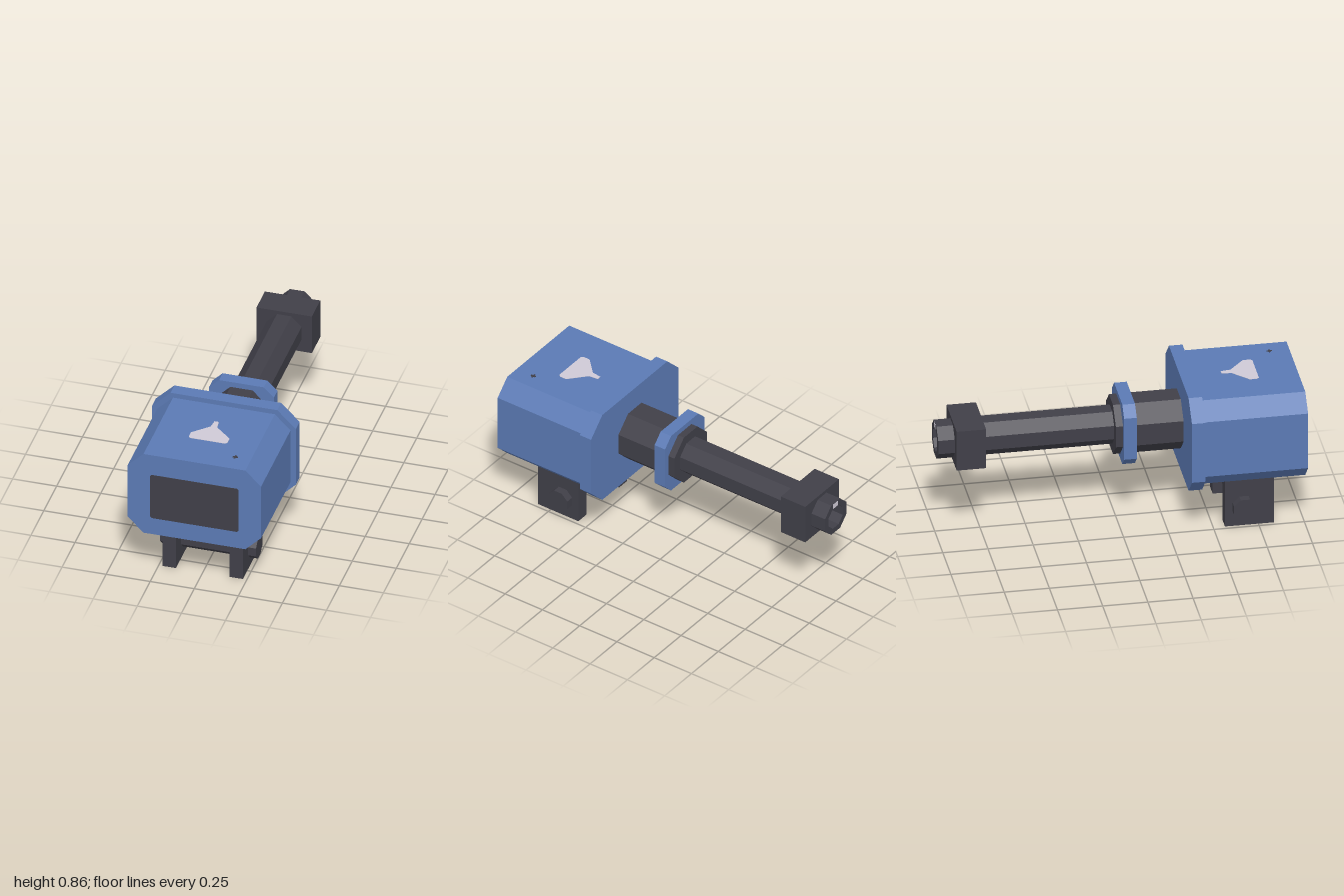
import * as THREE from 'three';

export function createModel() {
  const group = new THREE.Group();
  group.name = 'mountedCannon';

  const mat = (name, hex) => {
    const m = new THREE.MeshStandardMaterial({ color: hex });
    m.name = name;
    return m;
  };
  const blue = mat('blue paint', 0x5b7ab4);
  const dark = mat('dark metal', 0x403f48);
  const light = mat('light marking', 0xcfcad6);

  const add = (name, geometry, material) => {
    const mesh = new THREE.Mesh(geometry, material);
    mesh.name = name;
    group.add(mesh);
    return mesh;
  };

  // rectangle outline with cut corners, half sizes a x b, centred on the origin
  const outline = (a, b, c) => [
    [a, c - b], [a, b - c], [a - c, b], [c - a, b],
    [-a, b - c], [-a, c - b], [c - a, -b], [a - c, -b],
  ].map(([x, y]) => new THREE.Vector2(x, y));
  const octagon = (r) => outline(r, r, r * (2 - Math.SQRT2));

  // prism running along z from z0 to z1, with an optional hole
  const prism = (points, z0, z1, y = 0, hole) => {
    const shape = new THREE.Shape(points);
    if (hole) shape.holes.push(new THREE.Path(hole));
    return new THREE.ExtrudeGeometry(shape, { depth: z1 - z0, bevelEnabled: false })
      .translate(0, y, z0);
  };
  const box = (w, h, d, x, y, z) => new THREE.BoxGeometry(w, h, d).translate(x, y, z);

  const axisY = 0.57;

  // housing, rear flange and front panel
  add('housing', prism(outline(0.378, 0.258, 0.089), 0.42, 0.998, axisY), blue);
  add('flange', prism(outline(0.408, 0.287, 0.105), 0.35, 0.425, axisY), blue);
  add('frontPanel', prism(outline(0.25, 0.141, 0.008), 0.996, 1, 0.559), dark);

  // barrel with its sleeve, collar and muzzle block
  add('sleeve', prism(octagon(0.152), -0.025, 0.36, axisY), dark);
  add('collar', prism(outline(0.184, 0.184, 0.057), 0.015, 0.085, axisY), blue);
  add('barrel', prism(octagon(0.099), -0.92, 0, axisY), dark);
  add('muzzleBlock', box(0.314, 0.24, 0.163, 0, axisY, -0.825), dark);
  add('muzzle', prism(octagon(0.099), -0.998, -0.92, axisY, octagon(0.066)), dark);
  add('muzzleMark', box(0.045, 0.028, 0.003, 0.005, axisY + 0.082, -0.9985), light);

  // mounting brackets and the pin through them
  for (const side of [-1, 1]) {
    add(side > 0 ? 'leftBracket' : 'rightBracket',
      box(0.075, 0.314, 0.27, side * 0.19, 0.157, 0.7), dark);
  }
  add('pin', prism(octagon(0.0625), -0.272, 0.272)
    .rotateY(Math.PI / 2).translate(0, 0.1155, 0.67), dark);

  // painted marks on the roof, drawn in x and -z
  const mark = new THREE.Shape([
    [-0.09, -0.777], [0.11, -0.777], [0.12, -0.765], [0.12, -0.725], [0.025, -0.64],
    [0.018, -0.585], [-0.006, -0.585], [-0.012, -0.64], [-0.1, -0.725], [-0.1, -0.765],
  ].map(([x, y]) => new THREE.Vector2(x, y)));
  add('roofMark', new THREE.ExtrudeGeometry(mark, { depth: 0.003, bevelEnabled: false })
    .rotateX(-Math.PI / 2).translate(0, 0.827, 0), light);
  add('roofDotAcross', box(0.03, 0.003, 0.01, 0.2, 0.8285, 0.887), dark);
  add('roofDotAlong', box(0.01, 0.0034, 0.03, 0.2, 0.8285, 0.887), dark);

  return group;
}
